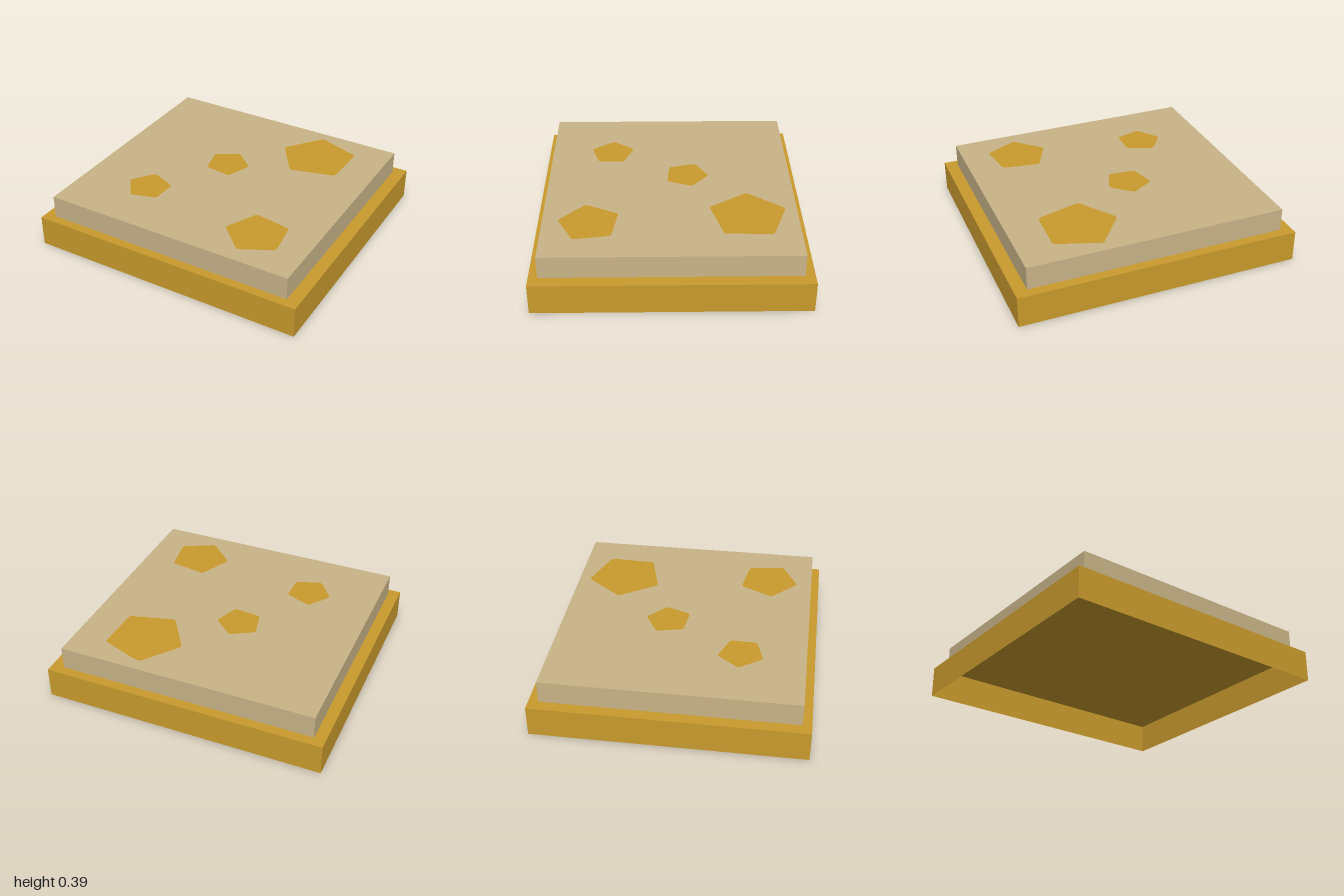
import * as THREE from 'three';

// Box without its bottom face, standing on y
function openBox(x0, x1, y0, y1, z0, z1) {
  const g = new THREE.BoxGeometry(x1 - x0, y1 - y0, z1 - z0);
  const index = Array.from(g.index.array);
  index.splice(18, 6);
  g.setIndex(index);
  g.clearGroups();
  return g.translate((x0 + x1) / 2, (y0 + y1) / 2, (z0 + z1) / 2);
}

// Flat polygon with slightly rounded corners, facing up; points are [x, z]
function spotGeometry(points, round = 0.02) {
  const p = points.map(([x, z]) => new THREE.Vector2(x, -z));
  const shape = new THREE.Shape();
  p.forEach((c, i) => {
    const toward = (q) => q.clone().sub(c).setLength(round).add(c);
    const a = toward(p[(i + p.length - 1) % p.length]);
    const b = toward(p[(i + 1) % p.length]);
    if (i === 0) shape.moveTo(a.x, a.y);
    else shape.lineTo(a.x, a.y);
    shape.quadraticCurveTo(c.x, c.y, b.x, b.y);
  });
  shape.closePath();
  return new THREE.ShapeGeometry(shape, 3).rotateX(-Math.PI / 2);
}

export function createModel() {
  const gold = new THREE.MeshStandardMaterial({ color: 0xc99b2d, side: THREE.DoubleSide });
  gold.name = 'gold';
  const tan = new THREE.MeshStandardMaterial({ color: 0xc9b488, side: THREE.DoubleSide });
  tan.name = 'tan';

  const model = new THREE.Group();
  model.name = 'spottedSlab';
  const add = (name, geometry, material) => {
    const mesh = new THREE.Mesh(geometry, material);
    mesh.name = name;
    model.add(mesh);
    return mesh;
  };

  // Hollow tray, open underneath, with the slab on top
  add('base', openBox(-1, 1, 0, 0.222, -0.94, 0.94), gold);
  add('slab', openBox(-0.92, 0.912, 0.222, 0.385, -0.872, 0.878), tan);

  // Irregular five-sided spots on the slab
  const spots = {
    backLeftSpot: [[0.36, -0.795], [0.672, -0.685], [0.66, -0.353], [0.34, -0.267], [0.16, -0.537]],
    middleSpot: [[-0.08, -0.28], [0.062, -0.153], [-0.005, 0.023], [-0.2, 0.002], [-0.244, -0.186]],
    frontRightSpot: [[-0.473, 0.272], [-0.287, 0.343], [-0.292, 0.53], [-0.473, 0.585], [-0.587, 0.425]],
    frontLeftSpot: [[0.413, 0.36], [0.677, 0.402], [0.716, 0.657], [0.487, 0.773], [0.3, 0.591]],
  };
  for (const [name, points] of Object.entries(spots)) {
    add(name, spotGeometry(points), gold).position.y = 0.388;
  }
  return model;
}
